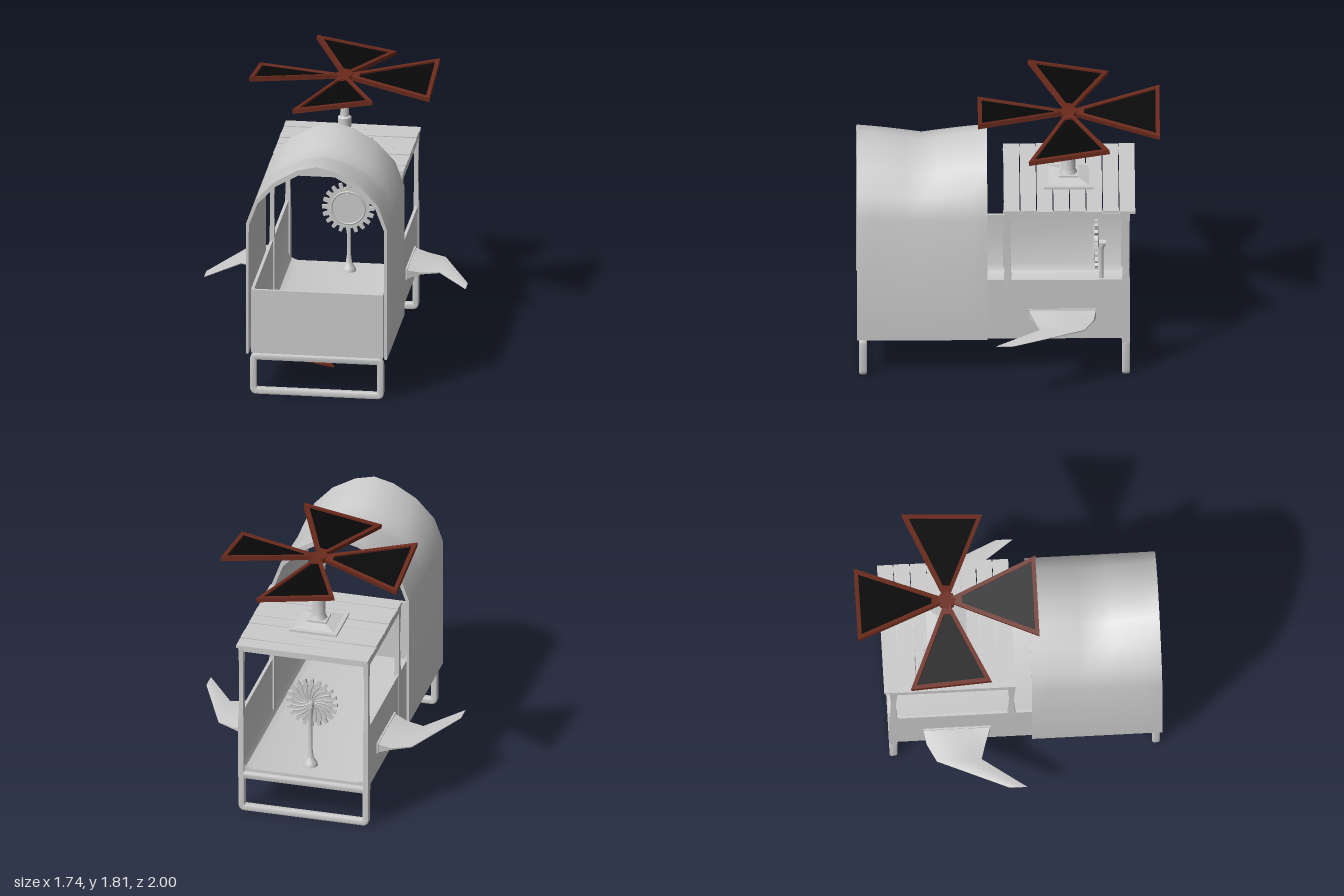
import * as THREE from 'three';
import { toCreasedNormals } from 'three/addons/utils/BufferGeometryUtils.js';

const grey = new THREE.MeshStandardMaterial({ color: 0xcccccc, side: THREE.DoubleSide });
const brown = new THREE.MeshStandardMaterial({ color: 0x6b2a1c });
const black = new THREE.MeshStandardMaterial({ color: 0x080808 });

function add(parent, name, geo, mat = grey, x = 0, y = 0, z = 0) {
  const m = new THREE.Mesh(geo, mat);
  m.name = name;
  m.position.set(x, y, z);
  parent.add(m);
  return m;
}
const box = (w, h, d) => new THREE.BoxGeometry(w, h, d);
const vecs = (pts) => pts.map((p) => new THREE.Vector2(p[0], p[1]));
const mirrored = (half) => [...half, ...half.filter((p) => p[0] !== 0).reverse().map((p) => [-p[0], p[1]])];
const lathe = (pts, n = 16) => toCreasedNormals(new THREE.LatheGeometry(vecs(pts), n), 0.6);

// Moves every vertex by a rule
function warp(geo, rule) {
  const p = geo.attributes.position;
  const v = new THREE.Vector3();
  for (let i = 0; i < p.count; i++) {
    v.fromBufferAttribute(p, i);
    rule(v);
    p.setXYZ(i, v.x, v.y, v.z);
  }
  return toCreasedNormals(geo, 0.7);
}

function roundedRect(path, x0, y0, x1, y1, r) {
  path.moveTo(x0 + r, y0);
  path.lineTo(x1 - r, y0).quadraticCurveTo(x1, y0, x1, y0 + r);
  path.lineTo(x1, y1 - r).quadraticCurveTo(x1, y1, x1 - r, y1);
  path.lineTo(x0 + r, y1).quadraticCurveTo(x0, y1, x0, y1 - r);
  path.lineTo(x0, y0 + r).quadraticCurveTo(x0, y0, x0 + r, y0);
  return path;
}

// Four pitched, framed triangular blades on a mast; the blade plane is y = 0
function makeRotor(name, mastProfile, dir) {
  const g = new THREE.Group();
  g.name = name;
  const outline = [[0.03, -0.02], [0.6, -0.27], [0.6, 0.27], [0.03, 0.02]];
  const inner = [[0.1, -0.022], [0.573, -0.228], [0.573, 0.228], [0.1, 0.022]];
  const frame = new THREE.Shape(vecs(outline));
  frame.holes.push(new THREE.Path(vecs(inner)));
  const lay = (shape, depth, y) =>
    new THREE.ExtrudeGeometry(shape, { depth, bevelEnabled: false })
      .rotateX(-Math.PI / 2).translate(0, y, 0).rotateX(0.165 * dir);
  const frameGeo = lay(frame, 0.03, -0.015);
  const backGeo = lay(new THREE.Shape(vecs(inner)), 0.008, -0.012);
  const panelGeo = lay(new THREE.Shape(vecs(inner)), 0.006, -0.003);
  for (let i = 0; i < 4; i++) {
    const blade = new THREE.Group();
    blade.name = 'blade';
    blade.rotation.y = i * Math.PI / 2;
    add(blade, 'bladeFrame', frameGeo, brown);
    add(blade, 'bladeBacking', backGeo, brown);
    add(blade, 'bladePanel', panelGeo, black);
    g.add(blade);
  }
  add(g, 'hub', new THREE.CylinderGeometry(0.06, 0.06, 0.035, 8), brown);
  add(g, 'mast', lathe(mastProfile));
  return g;
}

function makeGear() {
  const g = new THREE.Group();
  g.name = 'gearWheel';
  const n = 20, pts = [];
  for (let i = 0; i < n; i++) {
    [[-0.3, 0.14], [-0.2, 0.175], [0.2, 0.175], [0.3, 0.14]].forEach(([o, r]) => {
      const a = ((i + o) / n) * Math.PI * 2 + Math.PI / 2;
      pts.push([r * Math.cos(a), r * Math.sin(a)]);
    });
  }
  add(g, 'toothedDisc', new THREE.ExtrudeGeometry(new THREE.Shape(vecs(pts)), { depth: 0.022, bevelEnabled: false }), grey, 0, 0, -0.011);
  add(g, 'discRim', new THREE.TorusGeometry(0.112, 0.007, 6, 40), grey, 0, 0, 0.011);
  // Curved vanes on the rear face
  const curve = new THREE.QuadraticBezierCurve3(
    new THREE.Vector3(0.02, 0, -0.012), new THREE.Vector3(0.09, 0.01, -0.014), new THREE.Vector3(0.128, 0.06, -0.012));
  const vaneGeo = new THREE.TubeGeometry(curve, 8, 0.006, 5);
  for (let i = 0; i < n; i++) add(g, 'vane', vaneGeo).rotation.z = (i / n) * Math.PI * 2;
  add(g, 'axle', new THREE.CylinderGeometry(0.02, 0.02, 0.07, 12).rotateX(Math.PI / 2), grey, 0, 0, -0.03);
  return g;
}

export function createModel() {
  const model = new THREE.Group();
  model.name = 'rotorCart';

  // Open-topped body with a rounded inner floor corner, open at the rear
  const tub = mirrored([[0.36, 0.305], [0.4, 0.32], [0.42, 0.36], [0.42, 0.73], [0.44, 0.73], [0.44, 0.285]]);
  const tubGeo = new THREE.ExtrudeGeometry(new THREE.Shape(vecs(tub)), { depth: 1.74, bevelEnabled: false });
  add(model, 'body', toCreasedNormals(tubGeo, 0.7), grey, 0, 0, -0.77);
  add(model, 'frontPanel', box(0.86, 0.445, 0.02), grey, 0, 0.508, 0.965);

  // Arched canopy whose ridge sags in the middle
  const outer = [[0.47, 0.29], [0.47, 1.2], [0.41, 1.365], [0.285, 1.5], [0.13, 1.59], [0, 1.622]];
  const inside = [[0.452, 0.29], [0.45, 1.19], [0.392, 1.345], [0.27, 1.472], [0.12, 1.557], [0, 1.588]];
  const arch = new THREE.Shape(vecs([...mirrored(outer), ...mirrored(inside).reverse()]));
  const canopy = warp(new THREE.ExtrudeGeometry(arch, { depth: 0.86, steps: 8, bevelEnabled: false }), (v) => {
    const t = Math.max(0, 1 - Math.abs(v.z / 0.43 - 1));
    if (v.y > 1.2) v.y = 1.2 + (v.y - 1.2) * (1 - 0.18 * Math.pow(t, 1.25));
  });
  add(model, 'canopy', canopy, grey, 0, 0, 0.14);

  // Skid frames under both ends
  const skid = roundedRect(new THREE.Shape(), -0.435, 0.01, 0.435, 0.275, 0.035);
  skid.holes.push(roundedRect(new THREE.Path(), -0.412, 0.034, 0.412, 0.25, 0.02));
  const skidGeo = toCreasedNormals(new THREE.ExtrudeGeometry(skid, {
    depth: 0.03, bevelThickness: 0.01, bevelSize: 0.01, bevelSegments: 2, curveSegments: 5 }), 0.7);
  for (const z of [0.96, -0.775]) add(model, 'skidFrame', skidGeo, grey, 0, 0, z - 0.015);

  // Cabin posts, waisted at mid height, and the roof beams
  for (const s of [-1, 1]) {
    for (const [z, y0] of [[0.005, 0.3], [-0.775, 0.25]]) {
      const post = warp(new THREE.BoxGeometry(0.035, 1.22 - y0, 0.055, 1, 14, 1).translate(0, (1.22 + y0) / 2, 0), (v) => {
        const t = THREE.MathUtils.clamp((v.y - 0.7) / 0.52, 0, 1);
        v.z *= 1 - 0.4 * Math.sin(Math.PI * t);
        v.x *= 1 - 0.25 * Math.sin(Math.PI * t);
      });
      add(model, 'cabinPost', post, grey, s * 0.427, 0, z);
    }
    add(model, 'sideRoofBeam', box(0.035, 0.04, 0.83), grey, s * 0.427, 1.215, -0.385);
  }
  for (const z of [0.005, -0.775]) add(model, 'crossRoofBeam', box(0.87, 0.04, 0.05), grey, 0, 1.215, z);

  // Plank roof, each board tilted a little differently
  for (let i = 0; i < 8; i++) {
    const plank = add(model, 'roofPlank', box(0.9, 0.02, 0.104), grey, 0, 1.247, -0.022 - i * 0.1089);
    plank.rotation.z = 0.008 * Math.sin(i * 2.3);
  }

  // Main rotor on a pyramid mount
  const mount = new THREE.Group();
  mount.name = 'rotorMount';
  mount.position.set(0, 1.255, -0.4);
  add(mount, 'mountPlate', box(0.325, 0.016, 0.325), grey, 0, 0.01, 0);
  const pyramid = new THREE.CylinderGeometry(0.075, 0.2, 0.025, 4, 1).toNonIndexed().rotateY(Math.PI / 4);
  pyramid.computeVertexNormals();
  add(mount, 'mountPyramid', pyramid, grey, 0, 0.028, 0);
  add(mount, 'mountBlock', box(0.13, 0.02, 0.13), grey, 0, 0.04, 0);
  model.add(mount);
  const mainMast = [[0.062, -0.47], [0.058, -0.45], [0.043, -0.42], [0.045, -0.285], [0.04, -0.28], [0.03, -0.275],
    [0.022, -0.1], [0.042, -0.08], [0.045, -0.045], [0.03, -0.02], [0.03, 0]];
  const mainRotor = makeRotor('mainRotor', mainMast, 1);
  mainRotor.position.set(0, 1.75, -0.4);
  model.add(mainRotor);

  // Two small rotors hanging below the floor
  const lowMast = [[0.11, -0.38], [0.1, -0.345], [0.05, -0.325], [0.04, -0.25], [0.028, -0.24],
    [0.022, -0.1], [0.042, -0.08], [0.045, -0.045], [0.03, 0]];
  for (const z of [0.595, -0.41]) {
    const rotor = makeRotor('lowerRotor', lowMast, -1);
    rotor.scale.setScalar(1 / 3);
    rotor.rotation.x = Math.PI;
    rotor.position.set(0, 0.162, z);
    model.add(rotor);
  }

  // Swept side fins, tapering to the tip, with root plates
  const stations = [[0.43, -0.58, -0.13, 0.035], [0.54, -0.56, -0.17, 0.024], [0.66, -0.5, -0.205, 0.014], [0.87, -0.03, 0.085, 0.004]];
  for (const s of [-1, 1]) {
    const fin = warp(new THREE.BoxGeometry(3, 1, 1, 3, 1, 6), (v) => {
      const [x, z0, z1, h] = stations[Math.round(s * v.x + 1.5)];
      const u = v.z + 0.5;
      const round = x < 0.5 ? 1 : 0.25 + 0.75 * Math.sin(Math.PI * u);
      v.set(s * x, 0.472 + Math.sign(v.y) * h * round, THREE.MathUtils.lerp(z0, z1, u));
    });
    add(model, s > 0 ? 'leftFin' : 'rightFin', fin);
    add(model, 'finRoot', box(0.03, 0.074, 0.45), grey, s * 0.437, 0.473, -0.355);
  }

  // Control wheel on its pedestal at the rear
  const gear = makeGear();
  gear.position.set(0, 0.76, -0.582);
  model.add(gear);
  add(model, 'gearPedestal', lathe([[0.05, 0.3], [0.045, 0.325], [0.022, 0.36], [0.014, 0.42], [0.013, 0.7], [0.024, 0.74], [0.02, 0.765], [0, 0.77]], 12), grey, 0, 0, -0.615);

  return model;
}
